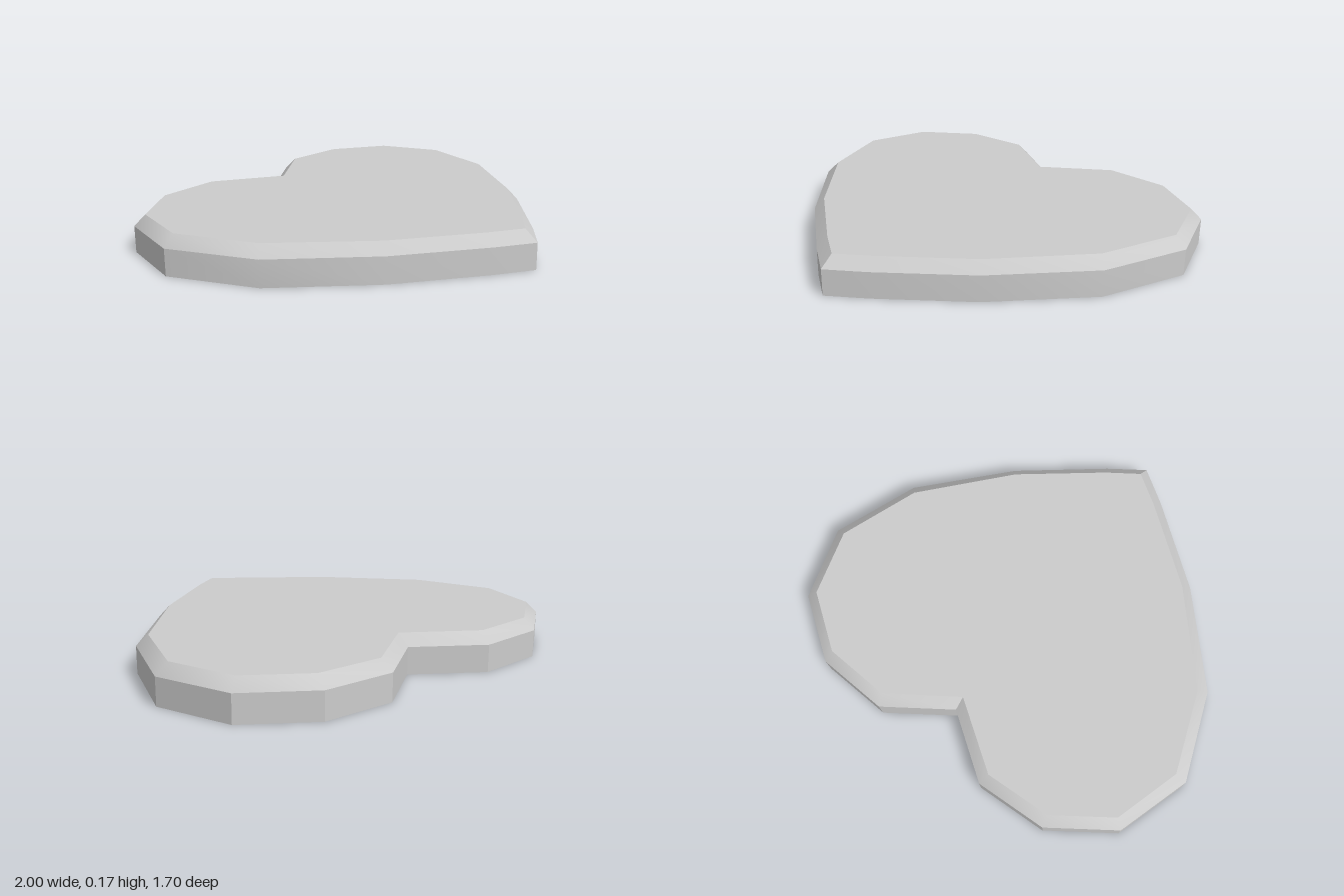
import * as THREE from 'three';
import { toCreasedNormals } from 'three/addons/utils/BufferGeometryUtils.js';

// Right half of each outline as [x, z], from the notch round to the tip
const outerHalf = [[0, -0.655], [0.285, -0.85], [0.615, -0.835], [0.89, -0.645], [1, -0.31],
  [0.855, 0.085], [0.515, 0.455], [0.16, 0.735], [0, 0.845]];
const innerHalf = [[0, -0.598], [0.3, -0.8], [0.605, -0.785], [0.85, -0.615], [0.945, -0.315],
  [0.815, 0.05], [0.485, 0.42], [0.14, 0.69], [0, 0.785]];

// Full closed outline: the half plus its mirror image
const mirror = half => [...half, ...half.slice(1, -1).reverse().map(([x, z]) => [-x, z])];

// Band of quads between two outlines at two heights
function band(lower, y0, upper, y1) {
  const out = [];
  lower.forEach((p, i) => {
    const j = (i + 1) % lower.length;
    const a0 = [p[0], y0, p[1]], b0 = [lower[j][0], y0, lower[j][1]];
    const a1 = [upper[i][0], y1, upper[i][1]], b1 = [upper[j][0], y1, upper[j][1]];
    out.push(...a0, ...a1, ...b1, ...a0, ...b1, ...b0);
  });
  const geometry = new THREE.BufferGeometry();
  geometry.setAttribute('position', new THREE.Float32BufferAttribute(out, 3));
  return toCreasedNormals(geometry, Math.PI / 6);
}

// Flat face filling an outline, facing up (dir = 1) or down (dir = -1)
function cap(outline, y, dir) {
  const shape = new THREE.Shape(outline.map(([x, z]) => new THREE.Vector2(x, -z * dir)));
  return new THREE.ShapeGeometry(shape).rotateX(-dir * Math.PI / 2).translate(0, y, 0);
}

export function createModel() {
  const group = new THREE.Group();
  group.name = 'heart';
  const material = new THREE.MeshStandardMaterial({ color: 0xcccccc });
  const outer = mirror(outerHalf), inner = mirror(innerHalf);
  const wallTop = 0.12, top = 0.17;

  const parts = {
    sideWall: band(outer, 0, outer, wallTop),
    bevel: band(outer, wallTop, inner, top),
    topFace: cap(inner, top, 1),
    bottomFace: cap(outer, 0, -1),
  };
  for (const [name, geometry] of Object.entries(parts)) {
    const mesh = new THREE.Mesh(geometry, material);
    mesh.name = name;
    group.add(mesh);
  }
  return group;
}
